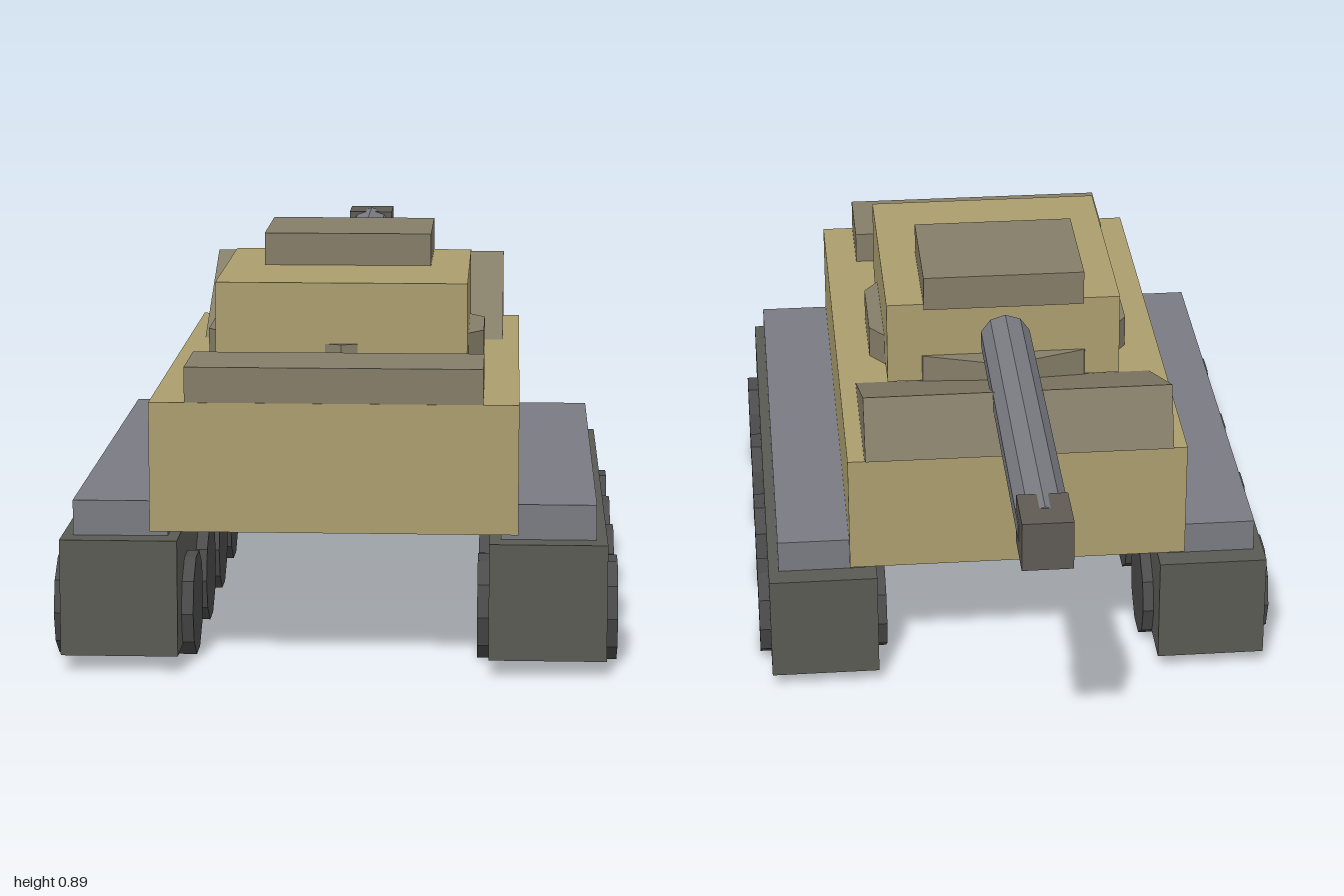
import * as THREE from 'three';

const paint = (color) => new THREE.MeshStandardMaterial({ color, flatShading: true });

export function createModel() {
  const tank = new THREE.Group();
  tank.name = 'tank';

  const tan = paint(0xab9e6e);
  const brown = paint(0x857d68);
  const steel = paint(0x7a7b82);
  const trackGrey = paint(0x5a5a54);
  const wheelGrey = paint(0x4b4b4b);
  const muzzleGrey = paint(0x5f5a54);

  const add = (name, geometry, material, x, y, z) => {
    const mesh = new THREE.Mesh(geometry, material);
    mesh.name = name;
    mesh.position.set(x, y, z);
    tank.add(mesh);
    return mesh;
  };

  // Box given by its extents along each axis
  const box = (name, material, [x0, x1], [y0, y1], [z0, z1]) =>
    add(name, new THREE.BoxGeometry(x1 - x0, y1 - y0, z1 - z0), material,
      (x0 + x1) / 2, (y0 + y1) / 2, (z0 + z1) / 2);

  // Hull with the raised plate on its front deck
  box('hull', tan, [-0.403, 0.403], [0.31, 0.597], [-0.333, 0.967]);
  box('frontDeckPlate', brown, [-0.325, 0.325], [0.59, 0.675], [0.757, 0.966]);

  // Running gear, mirrored on both sides
  for (const [side, s] of [['left', 1], ['right', -1]]) {
    const span = (a, b) => (s > 0 ? [a, b] : [-b, -a]);
    box(side + 'Track', trackGrey, span(0.34, 0.598), [0.037, 0.296], [-0.367, 1]);
    box(side + 'Fender', steel, span(0.365, 0.574), [0.29, 0.374], [-0.312, 0.946]);
    for (let i = 0; i < 4; i++) {
      const wheel = add(side + 'Wheel' + (i + 1),
        new THREE.CylinderGeometry(0.117, 0.117, 0.31, 10), wheelGrey,
        s * 0.469, 0.112, 0.8 - i * 0.32);
      wheel.rotation.z = Math.PI / 2;
    }
  }

  // Turret on its ten-sided ring, with the roof hatch
  add('turretRing', new THREE.CylinderGeometry(0.337, 0.337, 0.085, 10), brown, 0, 0.633, 0.315);
  box('turret', tan, [-0.285, 0.285], [0.608, 0.815], [0.045, 0.64]);
  box('hatch', brown, [-0.195, 0.195], [0.805, 0.89], [0.033, 0.343]);

  // Gun pointing to the rear
  const barrel = add('barrel', new THREE.CylinderGeometry(0.062, 0.062, 0.935, 10), steel, 0, 0.738, -0.4675);
  barrel.rotation.x = Math.PI / 2;
  box('muzzle', muzzleGrey, [-0.057, 0.057], [0.68, 0.796], [-1, -0.87]);

  // Tilted plate sunk into the rear deck
  const rearPlate = add('rearPlate', new THREE.BoxGeometry(0.726, 0.151, 0.45), brown, 0, 0.605, -0.147);
  rearPlate.rotation.x = 0.4;

  return tank;
}
